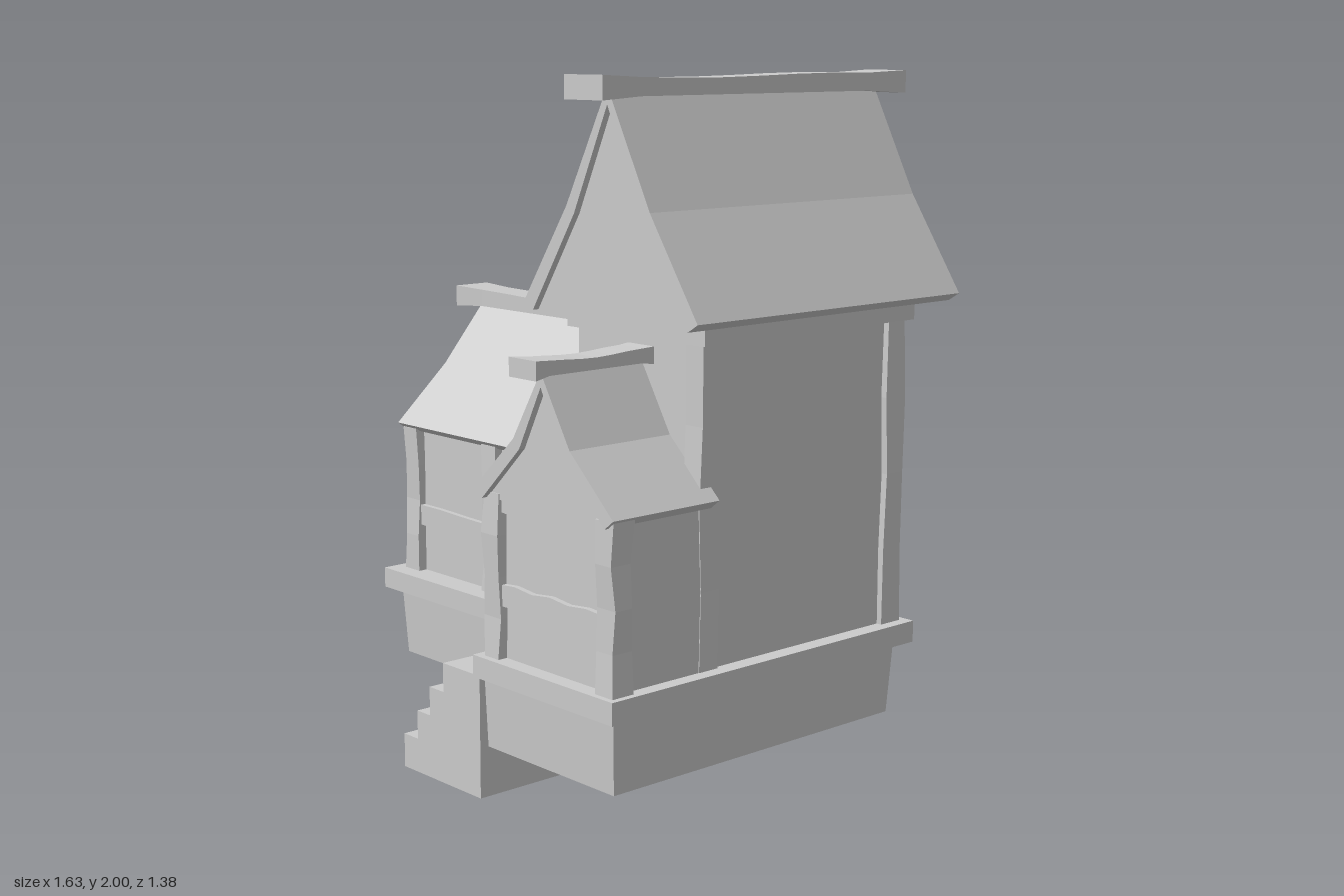
import * as THREE from 'three';

const mat = new THREE.MeshStandardMaterial({ color: 0xcccccc, flatShading: true });
const openMat = new THREE.MeshStandardMaterial({ color: 0xcccccc, flatShading: true, side: THREE.DoubleSide });

function add(parent, geometry, name, x = 0, y = 0, z = 0) {
  const mesh = new THREE.Mesh(geometry, mat);
  mesh.name = name;
  mesh.position.set(x, y, z);
  parent.add(mesh);
  return mesh;
}

// Box given by its limits
function block(parent, name, x0, x1, y0, y1, z0, z1) {
  return add(parent, new THREE.BoxGeometry(x1 - x0, y1 - y0, z1 - z0), name,
    (x0 + x1) / 2, (y0 + y1) / 2, (z0 + z1) / 2);
}

// Repeatable unevenness for hewn wood
const wave = (a, b) => Math.sin(a * 12.9 + b * 7.3 + 1.7);

// Rough upright post
function post(parent, name, x, z, y0, y1, w = 0.066) {
  const g = new THREE.BoxGeometry(w, y1 - y0, w, 1, 4, 1);
  const p = g.attributes.position;
  for (let i = 0; i < p.count; i++) {
    const y = p.getY(i);
    const sx = Math.sign(p.getX(i)), sz = Math.sign(p.getZ(i));
    p.setX(i, p.getX(i) + 0.005 * wave(y * 2 + x * 5, z * 4 + sx));
    p.setZ(i, p.getZ(i) + 0.005 * wave(y * 3 + z * 5, x * 4 + sz));
  }
  return add(parent, g, name, x, (y0 + y1) / 2, z);
}

// Rough horizontal rail, along x or along z
function rail(parent, name, length, x, y, z, alongZ = false) {
  const g = new THREE.BoxGeometry(length, 0.06, 0.04, 6, 1, 1);
  const p = g.attributes.position;
  for (let i = 0; i < p.count; i++) {
    p.setY(i, p.getY(i) + 0.004 * wave(p.getX(i) * 3 + y * 9, Math.sign(p.getY(i)) + z));
  }
  const m = add(parent, g, name, x, y, z);
  if (alongZ) m.rotation.y = Math.PI / 2;
  return m;
}

// Open ring of walls between a lower and an upper outline of [x, z] points
function shell(parent, name, lower, upper, y0, y1) {
  const v = [];
  lower.forEach((a, i) => {
    const j = (i + 1) % lower.length;
    const a0 = [a[0], y0, a[1]], b0 = [lower[j][0], y0, lower[j][1]];
    const a1 = [upper[i][0], y1, upper[i][1]], b1 = [upper[j][0], y1, upper[j][1]];
    v.push(...a0, ...b0, ...b1, ...a0, ...b1, ...a1);
  });
  const g = new THREE.BufferGeometry();
  g.setAttribute('position', new THREE.Float32BufferAttribute(v, 3));
  g.computeVertexNormals();
  const mesh = add(parent, g, name);
  mesh.material = openMat;
  return mesh;
}
const rect = (x0, x1, z0, z1) => [[x0, z0], [x0, z1], [x1, z1], [x1, z0]];

// L-shaped ground outline, grown outward by d; innerX is the side next to the steps
const outline = (d, innerX = 0.178) => [[-0.735 - d, -0.495 - d], [-0.735 - d, 0.21 + d],
  [innerX, 0.21 + d], [innerX, 0.597 + d], [0.715 + d, 0.597 + d], [0.715 + d, -0.495 - d]];

const toShape = (pts) => new THREE.Shape(pts.map(([x, y]) => new THREE.Vector2(x, y)));
const mirror = (pts) => pts.map(([x, y]) => [-x, y]);

function extrudeZ(pts, length) {
  const g = new THREE.ExtrudeGeometry(toShape(pts), { depth: length, bevelEnabled: false });
  return g.translate(0, 0, -length / 2);
}

// Bent gable roof: thick covering plus a slightly recessed gable filling.
// outer and inner run from ridge to eave on one side.
function roof(parent, name, outer, inner, length) {
  const group = new THREE.Group();
  group.name = name;
  const covering = [...mirror(outer).reverse(), ...outer.slice(1),
    ...[...inner].reverse(), ...mirror(inner).slice(1)];
  add(group, extrudeZ(covering, length), name + 'Covering');
  const filling = [...mirror(inner).reverse(), ...inner.slice(1)];
  add(group, extrudeZ(filling, length - 0.04), name + 'Gable');
  parent.add(group);
  return group;
}

// Ridge beam with flared, lifted ends and a gently sagging middle
function ridge(parent, name, w, h, length, y, z) {
  const g = new THREE.BoxGeometry(w, h, length, 1, 1, 8);
  const p = g.attributes.position;
  for (let i = 0; i < p.count; i++) {
    const t = p.getZ(i) / (length / 2), end = Math.abs(t) > 0.9;
    const top = p.getY(i) > 0;
    p.setX(i, p.getX(i) * (end ? 1 : 0.84));
    if (!end) p.setY(i, p.getY(i) + (top ? -0.008 + 0.004 * wave(t * 0.3, y) : 0.008));
  }
  return add(parent, g, name, 0, y, z);
}

export function createModel() {
  const model = new THREE.Group();
  model.name = 'house';

  // Plinth and the ledge around it
  shell(model, 'plinth', outline(-0.012), outline(0), 0.146, 0.36);
  const ledgeShape = toShape(outline(0.04));
  ledgeShape.holes.push(new THREE.Path(outline(-0.06, 0.24).map(([x, z]) => new THREE.Vector2(x, z))));
  const ledge = new THREE.ExtrudeGeometry(ledgeShape, { depth: 0.063, bevelEnabled: false });
  add(model, ledge.rotateX(Math.PI / 2), 'ledge', 0, 0.422, 0);

  // Steps rising sideways to the porch
  const steps = [[0.177, 0], [0.177, 0.355], [0.01, 0.355], [0.01, 0.27], [-0.055, 0.27],
    [-0.055, 0.185], [-0.115, 0.185], [-0.115, 0.1], [-0.18, 0.1], [-0.18, 0]];
  add(model, extrudeZ(steps, 0.387), 'steps', 0, 0, 0.42);

  // Low wing
  const wing = new THREE.Group();
  wing.name = 'wing';
  model.add(wing);
  const wingPlan = rect(-0.7, 0.11, -0.455, 0.165);
  shell(wing, 'wingWalls', wingPlan, wingPlan, 0.42, 0.885);
  for (const z of [0.158, -0.448]) {
    for (const x of [-0.7, -0.308, 0.075]) post(wing, 'wingPost', x, z, 0.42, 0.88);
    rail(wing, 'wingRail', 0.78, -0.31, 0.602, z + 0.004 * Math.sign(z));
  }
  for (const y of [0.602, 0.85]) rail(wing, 'wingEndRail', 0.56, -0.7, y, -0.145, true);
  const wingRoof = roof(wing, 'wingRoof', [[0, 1.26], [0.165, 1.065], [0.355, 0.893]],
    [[0, 1.215], [0.137, 1.045], [0.325, 0.872]], 0.855);
  ridge(wingRoof, 'wingRidge', 0.125, 0.065, 0.96, 1.268, -0.0175);
  wingRoof.rotation.y = Math.PI / 2;
  wingRoof.position.set(-0.3175, 0, -0.145);

  // Thick wall between wing and tower
  block(model, 'dividingWall', 0.11, 0.225, 0.42, 1.213, -0.47, 0.19);

  // Tower
  const tower = new THREE.Group();
  tower.name = 'tower';
  model.add(tower);
  const towerPlan = rect(0.212, 0.705, -0.485, 0.278);
  shell(tower, 'towerWalls', towerPlan, towerPlan, 0.42, 1.31);
  for (const [x, z] of [[0.684, 0.255], [0.684, -0.47], [0.243, -0.47]]) {
    post(tower, 'towerPost', x, z, 0.42, 1.31, 0.072);
  }
  block(tower, 'cornice', 0.19, 0.738, 1.305, 1.357, -0.525, 0.302);
  const towerRoof = roof(tower, 'towerRoof', [[0, 1.97], [0.165, 1.65], [0.345, 1.378]],
    [[0, 1.922], [0.134, 1.63], [0.308, 1.355]], 1.03);
  ridge(towerRoof, 'towerRidge', 0.15, 0.065, 1.175, 1.9675, 0.01);
  towerRoof.position.set(0.467, 0, -0.115);

  // Gabled porch
  const porch = new THREE.Group();
  porch.name = 'porch';
  model.add(porch);
  const porchPlan = rect(0.215, 0.713, 0.25, 0.587);
  shell(porch, 'porchWalls', porchPlan, porchPlan, 0.42, 0.885);
  for (const x of [0.235, 0.7]) post(porch, 'porchPost', x, 0.582, 0.42, 0.885);
  for (const y of [0.602, 0.862]) rail(porch, 'porchRail', 0.44, 0.467, y, 0.584);
  const porchRoof = roof(porch, 'porchRoof', [[0, 1.242], [0.115, 1.05], [0.283, 0.894]],
    [[0, 1.202], [0.09, 1.025], [0.25, 0.868]], 0.375);
  ridge(porchRoof, 'porchRidge', 0.11, 0.052, 0.43, 1.256, 0.033);
  porchRoof.position.set(0.467, 0, 0.4425);

  return model;
}
